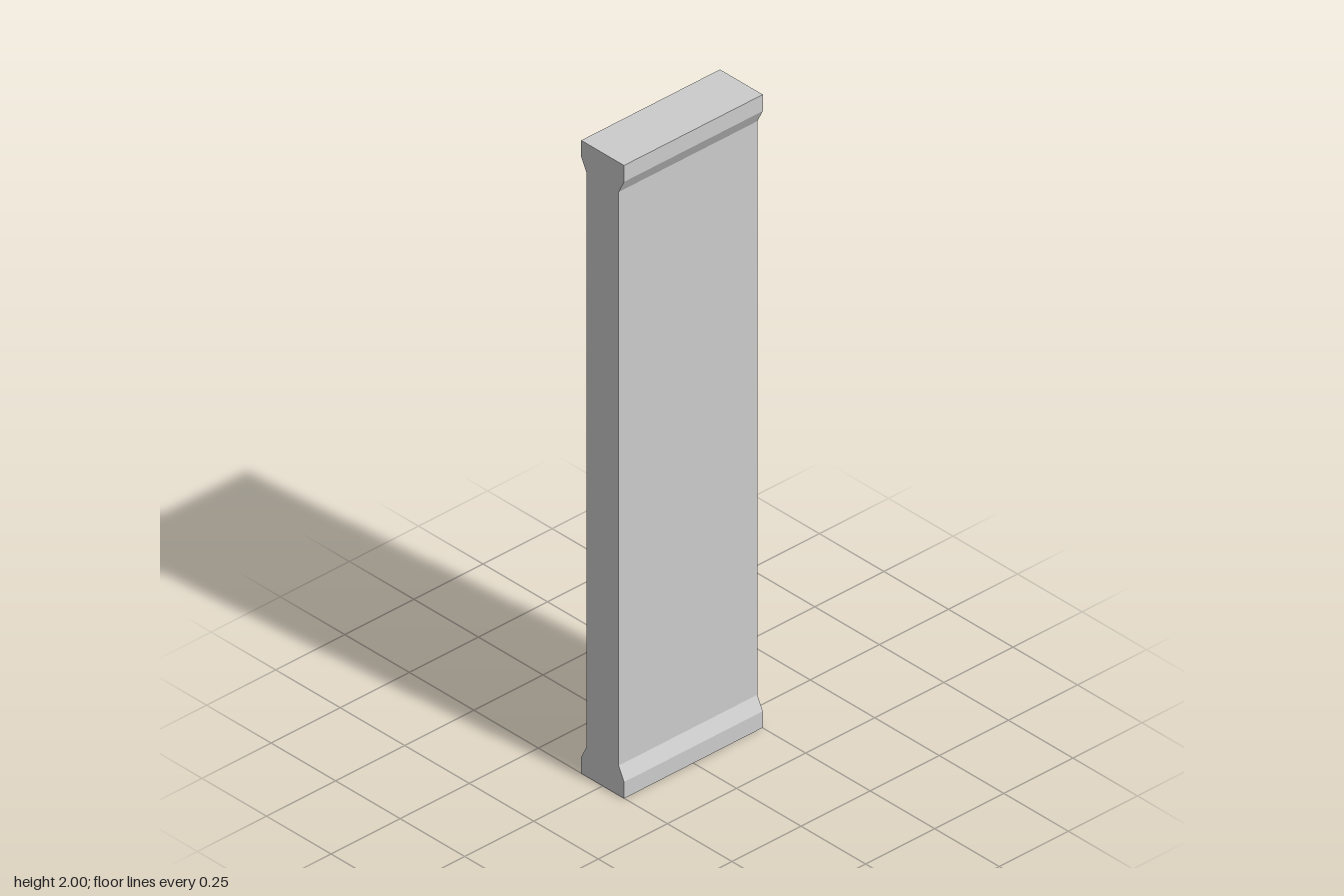
import * as THREE from 'three';

const DEPTH = 0.502;   // z size
const FLANGE = 0.083;  // half width of the top and bottom ends
const SHAFT = 0.062;   // half width of the slab between them

export function createModel() {
  const group = new THREE.Group();
  group.name = 'wallPanel';

  // Right edge from bottom to top: foot, chamfer, shaft, chamfer, cap
  const edge = [
    [FLANGE, 0], [FLANGE, 0.052], [SHAFT, 0.094],
    [SHAFT, 1.906], [FLANGE, 1.948], [FLANGE, 2],
  ];
  const mirrored = edge.map(([x, y]) => [-x, y]).reverse();
  const profile = new THREE.Shape(
    [...edge, ...mirrored].map(([x, y]) => new THREE.Vector2(x, y))
  );

  // Panel: the I-shaped profile extruded front to back
  const geometry = new THREE.ExtrudeGeometry(profile, { depth: DEPTH, bevelEnabled: false });
  geometry.translate(0, 0, -DEPTH / 2);
  const panel = new THREE.Mesh(
    geometry,
    new THREE.MeshStandardMaterial({ color: 0xcccccc, flatShading: true })
  );
  panel.name = 'flangedPanel';
  group.add(panel);

  return group;
}
